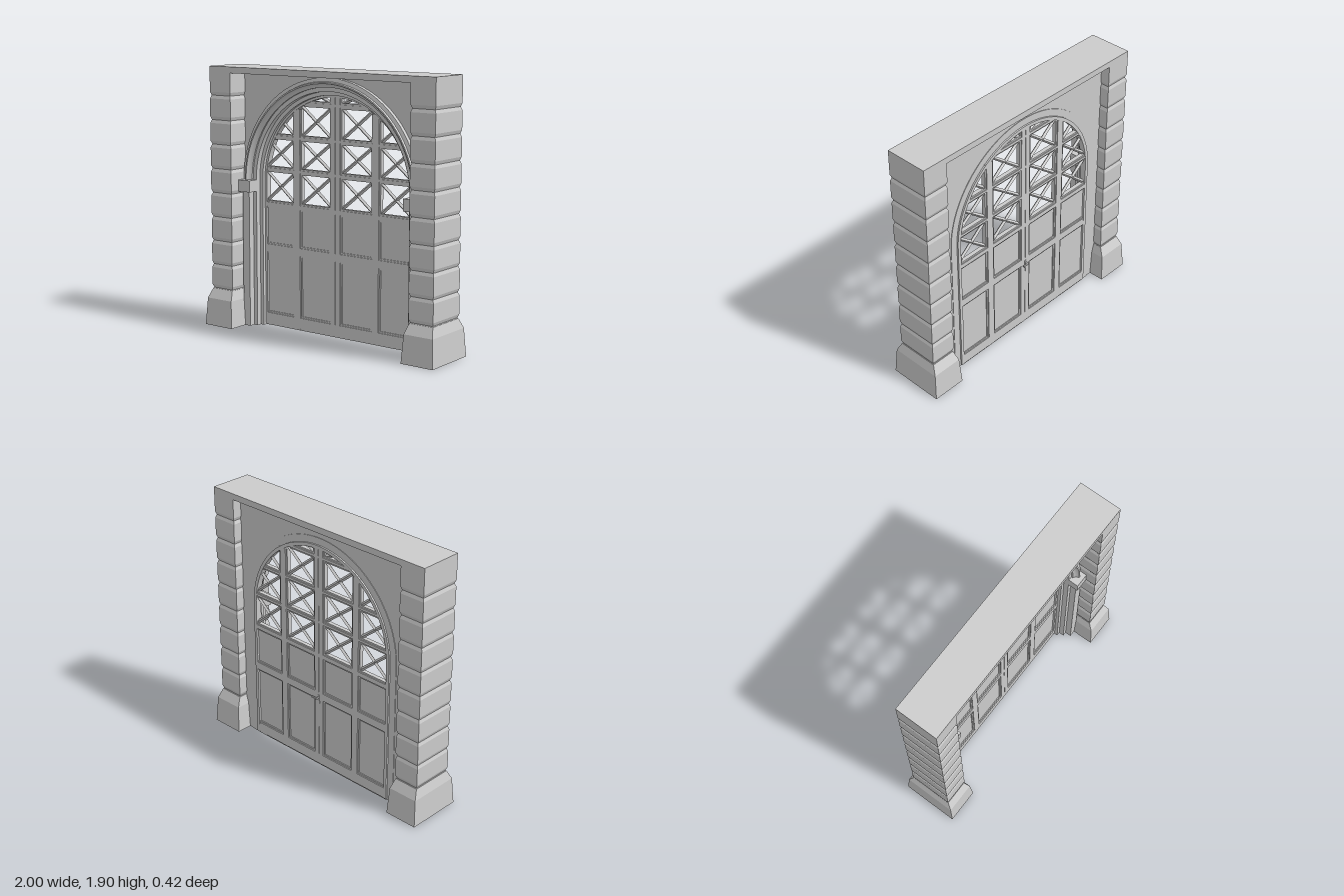
import * as THREE from 'three';
import { toCreasedNormals } from 'three/addons/utils/BufferGeometryUtils.js';

const SPRING = 1.085; // height where the arch begins
const TOP = 1.905;
const DOOR_Z = -0.083; // middle plane of the door leaves

export function createModel() {
  const model = new THREE.Group();
  const grey = new THREE.MeshStandardMaterial({ color: 0xcccccc });
  const greyBoth = new THREE.MeshStandardMaterial({ color: 0xcccccc, side: THREE.DoubleSide });
  const faceted = new THREE.MeshStandardMaterial({ color: 0xcccccc, flatShading: true });

  const add = (name, geometry, material = grey, parent = model) => {
    const mesh = new THREE.Mesh(geometry, material);
    mesh.name = name;
    parent.add(mesh);
    return mesh;
  };
  const box = (name, x0, x1, y0, y1, z0, z1, parent = model) => {
    const m = add(name, new THREE.BoxGeometry(x1 - x0, y1 - y0, z1 - z0), grey, parent);
    m.position.set((x0 + x1) / 2, (y0 + y1) / 2, (z0 + z1) / 2);
    return m;
  };
  const extrude = (shape, z0, z1) => {
    const g = new THREE.ExtrudeGeometry(shape, { depth: z1 - z0, bevelEnabled: false, curveSegments: 36 });
    g.translate(0, 0, z0);
    return toCreasedNormals(g, 0.5);
  };
  // Inner edge of an arched opening, from the right foot to the left foot
  const innerEdge = (s, r, y0) => {
    s.lineTo(r, y0);
    s.lineTo(r, SPRING);
    s.absarc(0, SPRING, r, 0, Math.PI, false);
    s.lineTo(-r, y0);
    s.closePath();
  };
  const archRing = (name, r0, r1, y0, z0, z1) => {
    const s = new THREE.Shape();
    s.moveTo(-r1, y0);
    s.lineTo(-r1, SPRING);
    s.absarc(0, SPRING, r1, Math.PI, 0, true);
    s.lineTo(r1, y0);
    innerEdge(s, r0, y0);
    return add(name, extrude(s, z0, z1));
  };
  // Stack of rectangular sections [y, xInner, xOuter, halfDepth], sharp edged
  const stack = (name, sections, parent) => {
    const n = sections.length - 1;
    const g = new THREE.BoxGeometry(1, 1, 1, 1, n, 1);
    const p = g.attributes.position;
    for (let i = 0; i < p.count; i++) {
      const [y, x0, x1, d] = sections[Math.round((p.getY(i) + 0.5) * n)];
      p.setXYZ(i, p.getX(i) < 0 ? x0 : x1, y, Math.sign(p.getZ(i)) * d);
    }
    const flat = g.toNonIndexed();
    flat.computeVertexNormals();
    return add(name, flat, grey, parent);
  };

  // Wall with arched opening, and the lintel over it
  const wall = new THREE.Shape();
  wall.moveTo(-0.79, 0);
  wall.lineTo(-0.79, 1.87);
  wall.lineTo(0.79, 1.87);
  wall.lineTo(0.79, 0);
  innerEdge(wall, 0.7, 0);
  add('wall', extrude(wall, -0.09, 0));
  box('lintel', -0.775, 0.775, 1.86, TOP, -0.16, 0.16);

  // Piers with V-shaped joints between the stone courses, on flared bases
  const courses = [[0.2, 0.775, 0.97, 0.16]];
  for (let k = 0; k < 9; k++) {
    const y = 0.275 + k * 0.1775;
    courses.push([y - 0.024, 0.775, 0.97, 0.16], [y, 0.784, 0.961, 0.151], [y + 0.024, 0.775, 0.97, 0.16]);
  }
  courses.push([TOP, 0.775, 0.97, 0.16]);
  const base = [[0, 0.748, 1, 0.208], [0.2, 0.76, 0.988, 0.193], [0.27, 0.78, 0.966, 0.157]];
  for (const side of [1, -1]) {
    const mirror = ([y, a, b, d]) => (side > 0 ? [y, a, b, d] : [y, -b, -a, d]);
    const pier = new THREE.Group();
    pier.name = side > 0 ? 'leftPier' : 'rightPier';
    model.add(pier);
    stack('pierCourses', courses.map(mirror), pier);
    stack('pierBase', base.map(mirror), pier);
    // Pilaster and capital carrying the arch moulding
    const span = (a, b) => (side > 0 ? [a, b] : [-b, -a]);
    box('pilaster', ...span(0.7, 0.762), 0, 1.01, -0.01, 0.05, pier);
    box('capital', ...span(0.67, 0.776), 1.0, SPRING, -0.02, 0.08, pier);
  }

  // Arch moulding: half-turn profile of radius and depth
  const profile = [
    [0.7, -0.01], [0.768, -0.01], [0.768, 0.03], [0.742, 0.036], [0.738, 0.05],
    [0.728, 0.05], [0.722, 0.034], [0.712, 0.022], [0.7, 0.016], [0.7, -0.01],
  ].map(([r, z]) => new THREE.Vector2(r, z));
  const moulding = new THREE.LatheGeometry(profile, 48, Math.PI / 2, Math.PI);
  moulding.rotateX(Math.PI / 2);
  moulding.translate(0, SPRING, 0);
  add('archMoulding', toCreasedNormals(moulding, 0.5), greyBoth);

  // Stepped door frame
  archRing('outerFrame', 0.67, 0.702, 0, -0.094, 0.004);
  archRing('innerFrame', 0.642, 0.672, 0, -0.094, -0.035);

  // Door leaves
  archRing('doorRim', 0.625, 0.65, 0.01, -0.106, -0.06);
  const door = new THREE.Group();
  door.name = 'door';
  model.add(door);
  const reach = (v) => Math.sqrt(0.64 * 0.64 - v * v);
  const halfWidth = (y) => (y > SPRING ? reach(y - SPRING) : 0.64);
  // Each bar is a full-depth core with a thinner bead along its edges
  const bar = (name, x0, x1, y0, y1, across) => {
    const bx = across ? 0 : 0.012, by = across ? 0.012 : 0;
    box(name, x0, x1, y0, y1, DOOR_Z - 0.022, DOOR_Z + 0.022, door);
    box(name + 'Bead', x0 - bx, x1 + bx, y0 - by, y1 + by, DOOR_Z - 0.015, DOOR_Z + 0.015, door);
  };
  for (const s of [1, -1]) {
    bar('middleStile', s * 0.345 - 0.027, s * 0.345 + 0.027, 0.01, SPRING + reach(0.36), false);
    bar('meetingStile', s * 0.021 - 0.019, s * 0.021 + 0.019, 0.01, SPRING + 0.638, false);
    box('lowerPanel', s > 0 ? 0.01 : -0.64, s > 0 ? 0.64 : -0.01, 0.02, 0.9, DOOR_Z - 0.008, DOOR_Z + 0.008, door);
  }
  const rails = [[0.012, 0.093], [0.55, 0.608], [0.887, 0.92], [1.153, 1.172], [1.394, 1.412], [1.642, 1.662]];
  for (const [y0, y1] of rails) {
    const w = halfWidth(y1);
    bar('rail', -w, w, y0, y1, true);
  }

  // Crossed glazing bars in every pane, trimmed to the arch
  const glazing = (ax, ay, bx, by) => {
    const kept = [];
    for (let i = 0; i <= 80; i++) {
      const x = ax + ((bx - ax) * i) / 80, y = ay + ((by - ay) * i) / 80;
      if (y <= SPRING || Math.hypot(x, y - SPRING) < 0.642) kept.push(new THREE.Vector2(x, y));
    }
    if (kept.length < 3) return;
    const a = kept[0], b = kept[kept.length - 1];
    const m = add('glazingBar', new THREE.CylinderGeometry(0.013, 0.013, a.distanceTo(b), 4), faceted, door);
    m.position.set((a.x + b.x) / 2, (a.y + b.y) / 2, DOOR_Z);
    m.rotation.z = Math.atan2(b.y - a.y, b.x - a.x) - Math.PI / 2;
  };
  const paneRows = [[0.925, 1.15], [1.175, 1.39], [1.415, 1.64], [1.665, 1.78]];
  const paneColumns = [[-0.64, -0.372], [-0.318, -0.04], [0.04, 0.318], [0.372, 0.64]];
  for (const [y0, y1] of paneRows) {
    for (const [x0, x1] of paneColumns) {
      glazing(x0, y0, x1, y1);
      glazing(x0, y1, x1, y0);
    }
  }

  // Small lever handle on the back
  box('handlePlate', -0.008, 0.008, 0.52, 0.585, -0.11, -0.1, door);
  box('handleStem', -0.005, 0.005, 0.562, 0.572, -0.13, -0.105, door);
  box('handleLever', -0.006, 0.045, 0.561, 0.573, -0.136, -0.127, door);

  return model;
}
